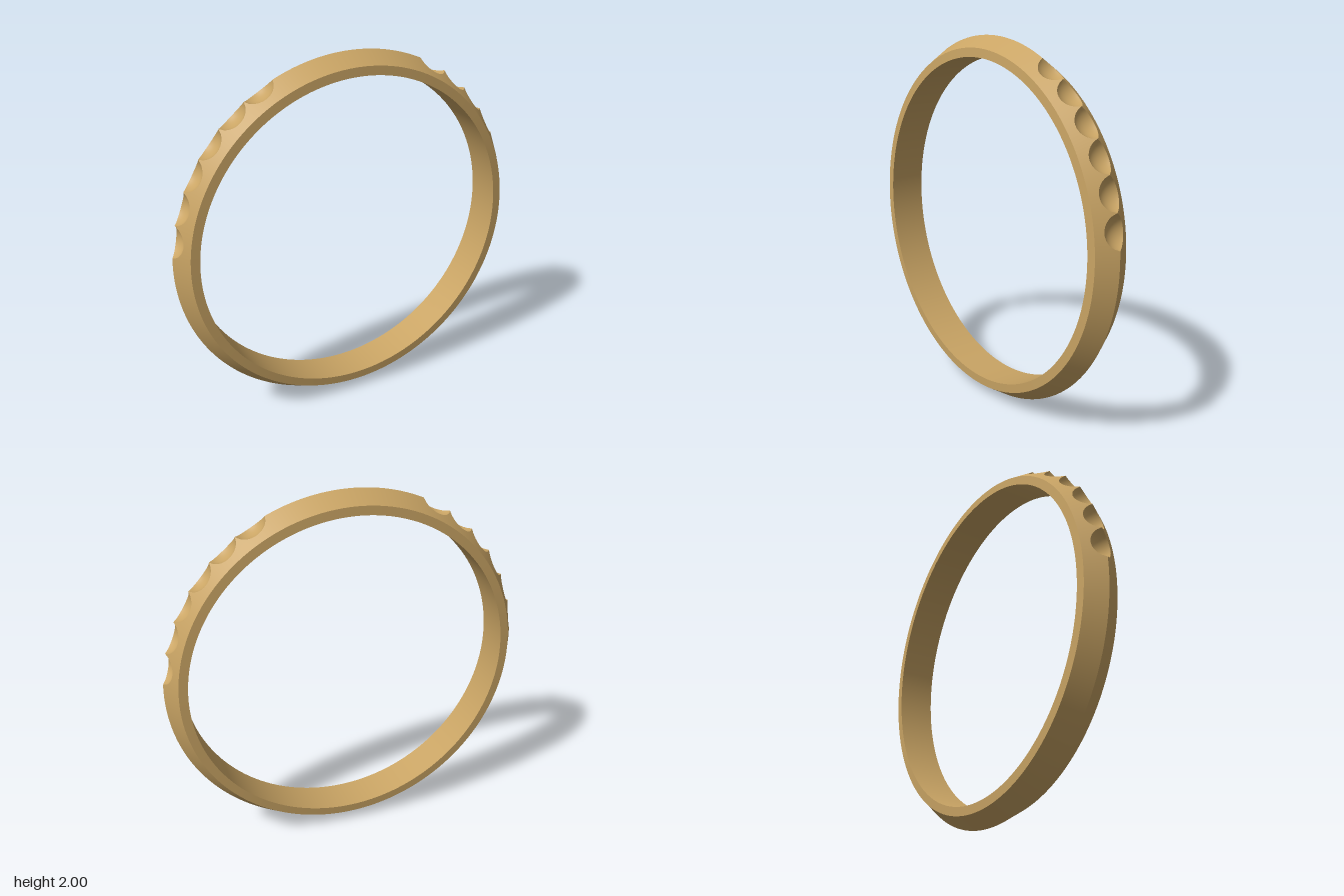
import * as THREE from 'three';

const RIM = 1, SHOULDER = 0.938, BORE = 0.89;    // radii of knife edge, bevel foot and bore
const EDGE_Z = 0.1, BORE_Z = 0.103;              // half widths at bevel foot and bore
const SLOPE = (RIM - SHOULDER) / EDGE_Z;
const FIRST = 4, STEP = 10.2, COUNT = 6;         // scoops, in degrees from the side
const SEG = 16;                                  // angular steps per scoop
const BALL = 1.047;                              // distance of the cutting sphere's centre
const rad = THREE.MathUtils.degToRad;
const BALL_R2 = 1 + BALL * BALL - 2 * BALL * Math.cos(rad(STEP / 2));

// Centres of the scoops, mirrored left and right
const centres = [];
for (let i = 0; i < COUNT; i++) {
  const a = FIRST + STEP * (i + 0.5);
  centres.push(a, 180 - a);
}

// Half width of the scoop opening on the bevel at a given angle (0 outside scoops)
function openingAt(deg) {
  const c = centres.find((m) => Math.abs(deg - m) < STEP / 2 - 1e-6);
  if (c === undefined) return 0;
  const cos = Math.cos(rad(deg - c));
  const A = 1 + SLOPE * SLOPE;
  const B = 2 * SLOPE * (BALL * cos - 1);
  const C = 1 + BALL * BALL - BALL_R2 - 2 * BALL * cos;
  return Math.max(0, (-B + Math.sqrt(Math.max(0, B * B - 4 * A * C))) / (2 * A));
}

// Depth of the spherical scoop floor
function floorRadius(offset, z) {
  const p = rad(offset);
  const h = BALL_R2 - z * z - (BALL * Math.sin(p)) ** 2;
  return BALL * Math.cos(p) - Math.sqrt(Math.max(0, h));
}

// Angle steps from a to b
function span(a, b, n) {
  return Array.from({ length: n + 1 }, (_, i) => a + ((b - a) * i) / n);
}

// Sweeps a section fn(angle, t) -> [radius, z] through the given angles
function sweep(name, angles, rows, fn, material, closed) {
  const pos = [], index = [];
  angles.forEach((deg) => {
    for (let j = 0; j <= rows; j++) {
      const [r, z] = fn(deg, j / rows);
      pos.push(r * Math.cos(rad(deg)), 1 + r * Math.sin(rad(deg)), z);
    }
  });
  const n = angles.length, w = rows + 1;
  for (let i = 0; i < (closed ? n : n - 1); i++) {
    for (let j = 0; j < rows; j++) {
      const a = i * w + j, b = ((i + 1) % n) * w + j;
      index.push(a, b, a + 1, b, b + 1, a + 1);
    }
  }
  const geometry = new THREE.BufferGeometry();
  geometry.setAttribute('position', new THREE.Float32BufferAttribute(pos, 3));
  geometry.setIndex(index);
  geometry.computeVertexNormals();
  const mesh = new THREE.Mesh(geometry, material);
  mesh.name = name;
  return mesh;
}

export function createModel() {
  const group = new THREE.Group();
  group.name = 'ring';
  const gold = new THREE.MeshStandardMaterial({ color: 0xc9a464 });

  // Angles round the ring, with steps landing on every scoop end
  const last = FIRST + STEP * COUNT;
  const round = [
    ...span(FIRST, last, COUNT * SEG).slice(0, -1),
    ...span(last, 180 - last, 50).slice(0, -1),
    ...span(180 - last, 180 - FIRST, COUNT * SEG).slice(0, -1),
    ...span(180 - FIRST, 360 + FIRST, 190).slice(0, -1),
  ];

  // Two bevels meeting in the knife edge, trimmed round the scoops
  const bevel = (z) => [RIM - SLOPE * Math.abs(z), z];
  group.add(sweep('frontBevel', round, 4, (a, t) => {
    const o = openingAt(a);
    return bevel(o + (EDGE_Z - o) * t);
  }, gold, true));
  group.add(sweep('backBevel', round, 4, (a, t) => {
    const o = openingAt(a);
    return bevel(-EDGE_Z + (EDGE_Z - o) * t);
  }, gold, true));

  // Side faces and bore
  const mix = THREE.MathUtils.lerp;
  group.add(sweep('frontFace', round, 1, (a, t) =>
    [mix(SHOULDER, BORE, t), mix(EDGE_Z, BORE_Z, t)], gold, true));
  group.add(sweep('backFace', round, 1, (a, t) =>
    [mix(BORE, SHOULDER, t), -mix(BORE_Z, EDGE_Z, t)], gold, true));
  group.add(sweep('bore', round, 2, (a, t) => [BORE, mix(BORE_Z, -BORE_Z, t)], gold, true));

  // Round scoops cut into the knife edge
  for (const c of centres) {
    group.add(sweep('scoop', span(c - STEP / 2, c + STEP / 2, SEG), 16, (a, t) => {
      const z = openingAt(a) * (2 * t - 1);
      return [floorRadius(a - c, z), z];
    }, gold, false));
  }
  return group;
}
